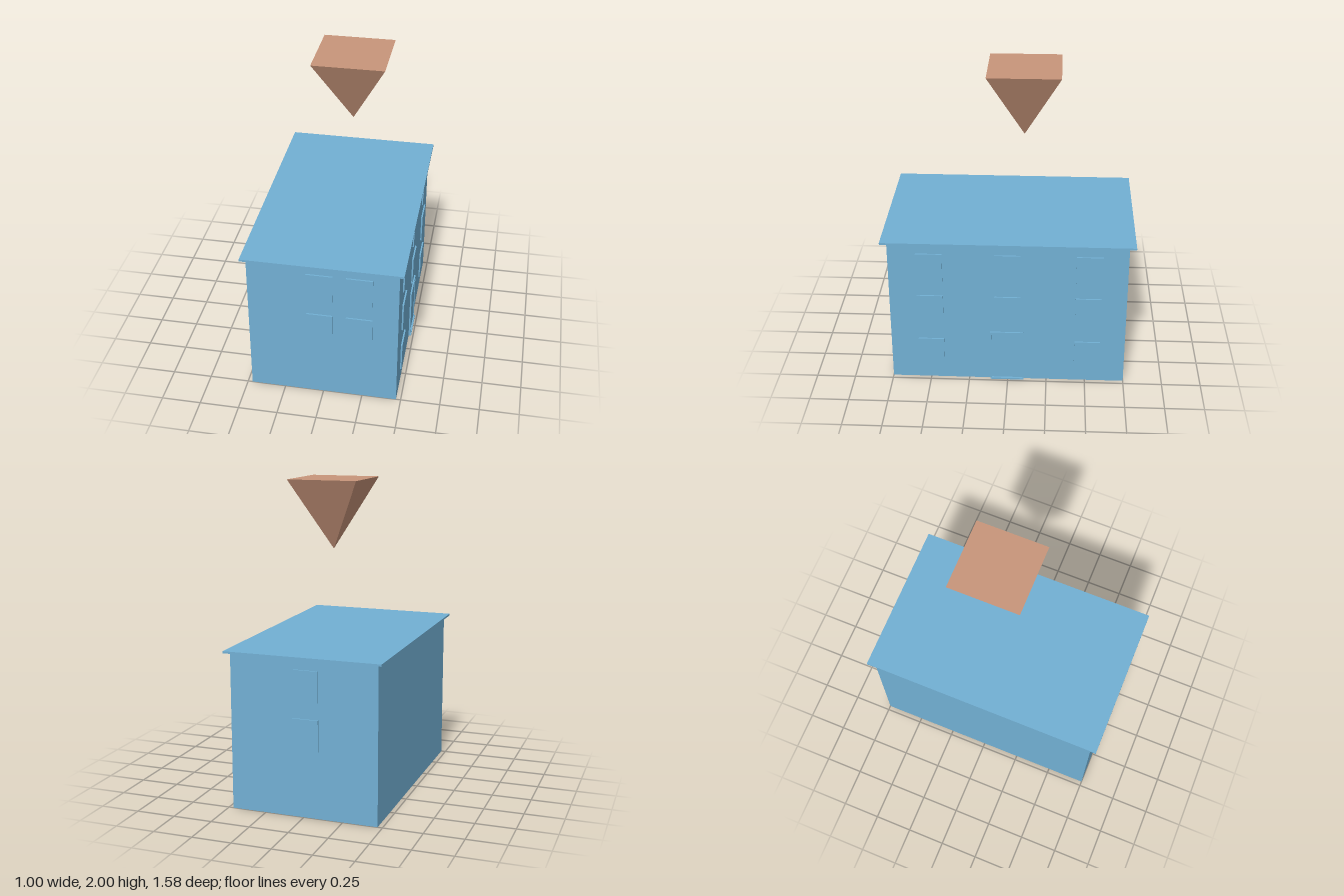
import * as THREE from 'three';

const blue = new THREE.MeshStandardMaterial({ color: 0x72b0d4, flatShading: true });
const brown = new THREE.MeshStandardMaterial({ color: 0xc8957a, flatShading: true });

function box(name, w, h, d, x, y, z) {
  const mesh = new THREE.Mesh(new THREE.BoxGeometry(w, h, d), blue);
  mesh.name = name;
  mesh.position.set(x, y, z);
  return mesh;
}

// A sash window facing +z: the lower sash sits slightly behind the upper one
function sashWindow(name) {
  const w = 0.165, h = 0.195, lower = 0.06;
  const win = new THREE.Group();
  win.name = name;
  win.add(box('upperSash', w, h - lower, 0.01, 0, lower / 2, 0.005));
  win.add(box('lowerSash', w, lower, 0.008, 0, (lower - h) / 2, 0.004));
  return win;
}

export function createModel() {
  const model = new THREE.Group();
  model.name = 'house';

  // Walls and overhanging flat roof
  model.add(box('walls', 0.94, 0.992, 1.5, 0, 0.496, 0));
  model.add(box('roof', 1, 0.013, 1.58, 0, 0.9985, 0));

  const rows = [0.2, 0.523, 0.823];

  // Front windows: two columns on the upper floors
  for (const y of rows.slice(1)) {
    for (const x of [-0.018, 0.228]) {
      const win = sashWindow('frontWindow');
      win.position.set(x, y + 0.002, 0.75);
      model.add(win);
    }
    // Back windows: one column
    const back = sashWindow('backWindow');
    back.position.set(-0.015, y, -0.75);
    back.rotation.y = Math.PI;
    model.add(back);
  }

  // Side windows: three columns, with the door in place of the lowest middle one
  for (const y of rows) {
    for (const z of [0.492, 0.002, -0.51]) {
      if (y === rows[0] && z === 0.002) continue;
      const win = sashWindow('sideWindow');
      win.position.set(0.47, y, z);
      win.rotation.y = Math.PI / 2;
      model.add(win);
    }
  }

  // Door with its frame and doorstep
  model.add(box('door', 0.006, 0.335, 0.2, 0.473, 0.18, 0.005));
  model.add(box('doorLintel', 0.01, 0.012, 0.215, 0.475, 0.352, 0.005));
  for (const z of [-0.0975, 0.1075]) {
    model.add(box('doorJamb', 0.01, 0.34, 0.01, 0.475, 0.178, z));
  }
  model.add(box('doorstep', 0.017, 0.01, 0.215, 0.4785, 0.005, 0.005));

  // Inverted square pyramid marker floating above the roof
  const cone = new THREE.ConeGeometry(0.225 * Math.SQRT2, 0.445, 4);
  cone.rotateY(Math.PI / 4);
  cone.rotateX(Math.PI);
  const marker = new THREE.Mesh(cone, brown);
  marker.name = 'marker';
  marker.position.set(0.045, 1.7775, -0.087);
  model.add(marker);

  return model;
}
